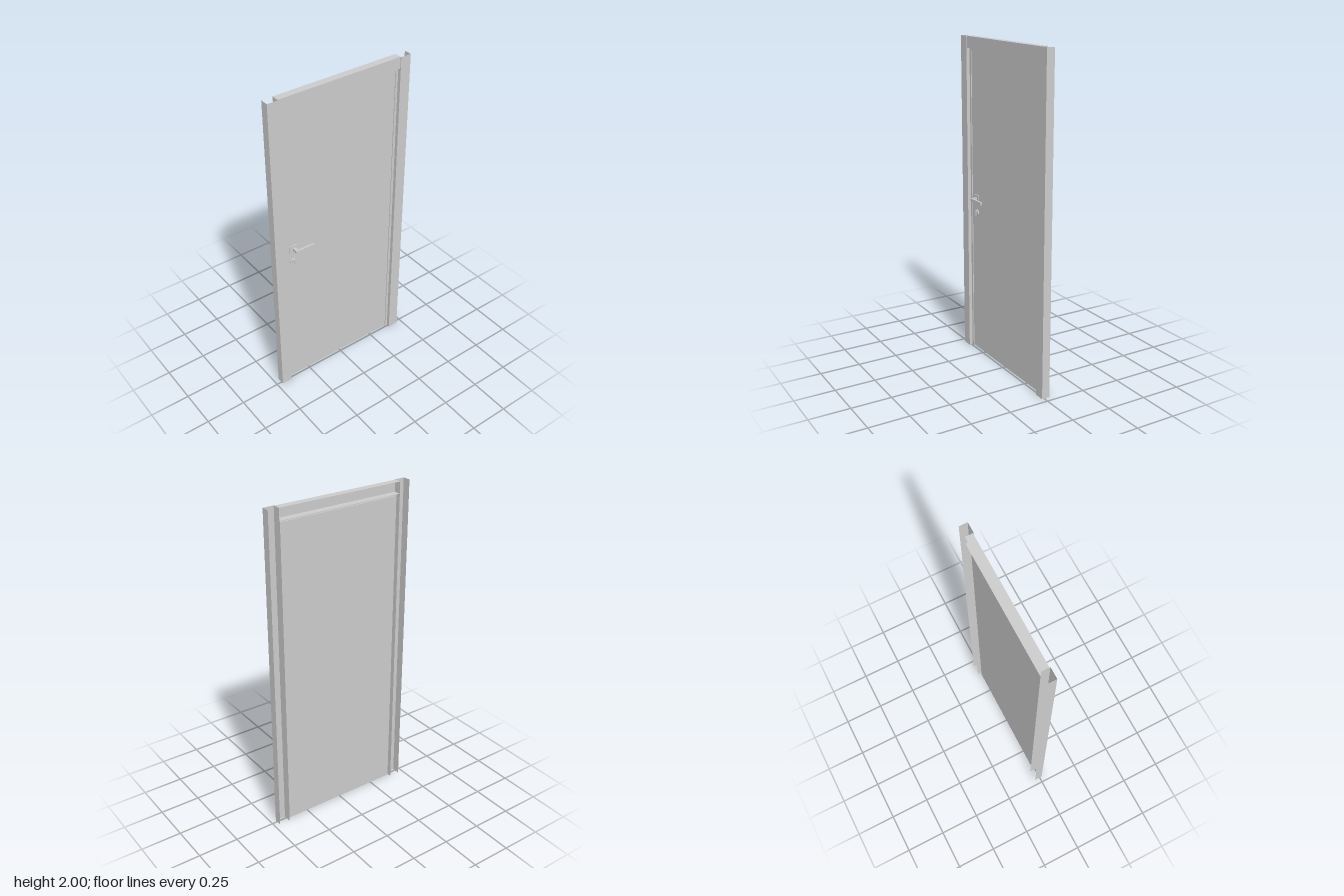
import * as THREE from 'three';

const sheetMat = new THREE.MeshStandardMaterial({ color: 0xcccccc, side: THREE.DoubleSide, flatShading: true });
const solidMat = new THREE.MeshStandardMaterial({ color: 0xcccccc });

// Folded open sheet: a 2D profile swept between two ends; place(point, end) gives the 3D position
function foldedSheet(name, profile, place) {
  const pos = [];
  for (let i = 0; i < profile.length - 1; i++) {
    const a = place(profile[i], 0), b = place(profile[i + 1], 0);
    const c = place(profile[i + 1], 1), d = place(profile[i], 1);
    pos.push(...a, ...b, ...c, ...a, ...c, ...d);
  }
  const geo = new THREE.BufferGeometry();
  geo.setAttribute('position', new THREE.Float32BufferAttribute(pos, 3));
  geo.computeVertexNormals();
  const mesh = new THREE.Mesh(geo, sheetMat);
  mesh.name = name;
  return mesh;
}

// Box given by its minimum and maximum corners
function box(name, [x0, y0, z0], [x1, y1, z1]) {
  const mesh = new THREE.Mesh(new THREE.BoxGeometry(x1 - x0, y1 - y0, z1 - z0), solidMat);
  mesh.name = name;
  mesh.position.set((x0 + x1) / 2, (y0 + y1) / 2, (z0 + z1) / 2);
  return mesh;
}

// Disc lying against the door, axis along x
function disc(name, radius, x0, x1, y, z) {
  const mesh = new THREE.Mesh(new THREE.CylinderGeometry(radius, radius, x1 - x0, 32), solidMat);
  mesh.name = name;
  mesh.rotation.z = -Math.PI / 2;
  mesh.position.set((x0 + x1) / 2, y, z);
  return mesh;
}

export function createModel() {
  const door = new THREE.Group();
  door.name = 'door';

  const back = -0.035, doorFront = -0.011, doorBack = -0.014, stopFront = -0.006;

  // Side posts: channels open at the back, with a small stop beside the leaf
  const postProfile = [[back, 0.466], [0.015, 0.466], [0.015, 0.399], [back, 0.399]];
  const stopProfile = [[stopFront, 0.399], [stopFront, 0.383], [doorFront, 0.383]];
  for (const [side, s] of [['plusZ', 1], ['minusZ', -1]]) {
    door.add(foldedSheet(side + 'Post', postProfile, ([x, z], t) => [x, t * 2, s * z]));
    door.add(foldedSheet(side + 'Stop', stopProfile, ([x, z], t) => [x, t * 1.915, s * z]));
  }

  // Head of the frame and its stop
  const headProfile = [[back, 2], [0.01, 2], [0.01, 1.93], [back, 1.93]];
  const headStop = [[stopFront, 1.93], [stopFront, 1.914], [doorFront, 1.914]];
  const across = ([x, y], t) => [x, y, (t * 2 - 1) * 0.399];
  door.add(foldedSheet('head', headProfile, across));
  door.add(foldedSheet('headStop', headStop, across));

  // Door leaf
  door.add(box('leaf', [doorBack, 0.005, -0.383], [doorFront, 1.914, 0.383]));

  // Lever handle on a square rose
  const handle = new THREE.Group();
  handle.name = 'handle';
  handle.add(
    box('rose', [doorFront, 0.982, 0.304], [-0.005, 1.034, 0.356]),
    box('neck', [-0.005, 1.0, 0.318], [0.02, 1.018, 0.336]),
    box('lever', [0.02, 1.0, 0.212], [0.032, 1.016, 0.336]),
  );
  door.add(handle);

  // Lock: round plate, cylinder and thumb turn
  const lock = new THREE.Group();
  lock.name = 'lock';
  lock.add(
    disc('lockPlate', 0.022, doorFront, -0.005, 0.92, 0.33),
    disc('lockCylinder', 0.012, -0.005, -0.002, 0.924, 0.33),
    box('lockTurn', [-0.005, 0.903, 0.326], [0.003, 0.937, 0.334]),
  );
  door.add(lock);

  return door;
}
